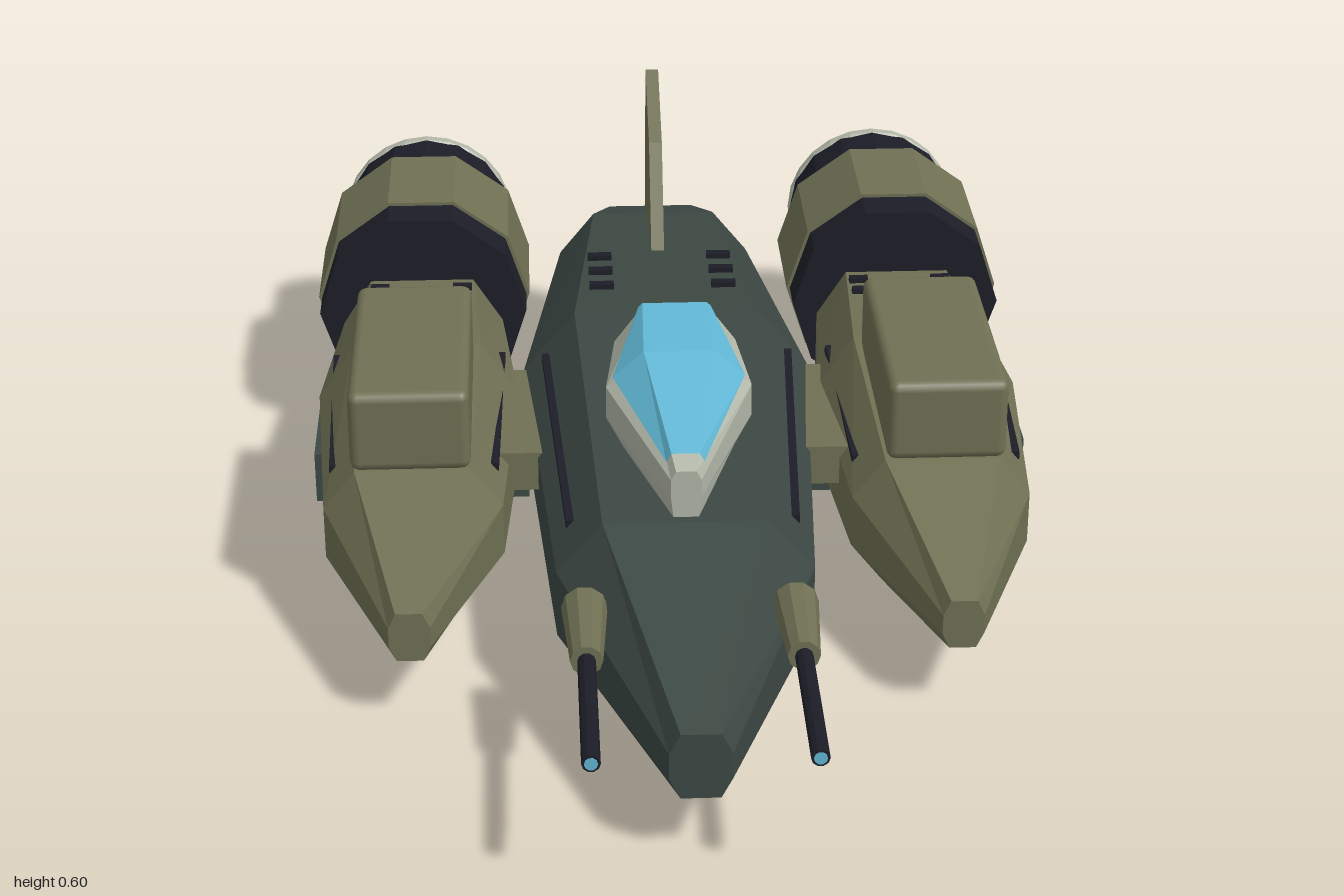
import * as THREE from 'three';
import { RoundedBoxGeometry } from 'three/addons/geometries/RoundedBoxGeometry.js';

const mat = (name, color) => {
  const m = new THREE.MeshStandardMaterial({ color });
  m.name = name;
  return m;
};

// Faceted copy of a geometry
function flat(geo) {
  const g = geo.index ? geo.toNonIndexed() : geo;
  g.computeVertexNormals();
  return g;
}

// Skin over rings of [x, y, z], counter-clockwise seen from +z, ordered back to front
function loft(rings, closed = true) {
  const p = [], n = rings[0].length;
  for (let i = 0; i < rings.length - 1; i++) {
    for (let j = 0; j < (closed ? n : n - 1); j++) {
      const k = (j + 1) % n;
      const a = rings[i][j], b = rings[i][k], c = rings[i + 1][k], d = rings[i + 1][j];
      p.push(...a, ...b, ...c, ...a, ...c, ...d);
    }
  }
  if (closed) {
    const back = rings[0], front = rings[rings.length - 1];
    for (let j = 1; j < n - 1; j++) {
      p.push(...front[0], ...front[j], ...front[j + 1]);
      p.push(...back[0], ...back[j + 1], ...back[j]);
    }
  }
  const g = new THREE.BufferGeometry();
  g.setAttribute('position', new THREE.Float32BufferAttribute(p, 3));
  g.computeVertexNormals();
  return g;
}

// Octagonal section: [z, half width, bottom, top]
function octagon([z, w, y0, y1]) {
  const t = w * 0.64, c = (y1 - y0) * 0.3;
  return [[w, y0 + c, z], [w, y1 - c, z], [t, y1, z], [-t, y1, z],
    [-w, y1 - c, z], [-w, y0 + c, z], [-t, y0, z], [t, y0, z]];
}

// Section interpolated at z
function sectionAt(sections, z) {
  let i = 0;
  while (i < sections.length - 2 && sections[i + 1][0] < z) i++;
  const a = sections[i], b = sections[i + 1], t = (z - a[0]) / (b[0] - a[0]);
  return a.map((v, k) => v + (b[k] - v) * t);
}

const HULL = [[-0.97, 0.125, 0.09, 0.275], [-0.84, 0.18, 0.05, 0.315], [-0.28, 0.252, 0.005, 0.365],
  [0.43, 0.205, 0.045, 0.33], [0.88, 0.047, 0.115, 0.225]];
const POD = [[-0.62, 0.14, 0.075, 0.32], [-0.53, 0.145, 0.05, 0.325], [-0.2, 0.174, 0.03, 0.345],
  [0.18, 0.148, 0.075, 0.3], [0.49, 0.033, 0.125, 0.21]];
const POD_X = 0.437;

export function createModel() {
  const root = new THREE.Group();
  root.name = 'gunship';
  const green = mat('dark green', 0x3c4843), olive = mat('olive', 0x6f7053);
  const black = mat('blue black', 0x1d1d28), pale = mat('pale grey', 0xb3b7a8);
  const blue = mat('light blue', 0x60b6d3);

  const add = (name, geo, material, x = 0, y = 0, z = 0, parent = root) => {
    const m = new THREE.Mesh(geo, material);
    m.name = name;
    m.position.set(x, y, z);
    parent.add(m);
    return m;
  };
  const box = (w, h, d) => new THREE.BoxGeometry(w, h, d);
  // Cylinder along z
  const tube = (front, back, len, sides) => flat(
    new THREE.CylinderGeometry(front, back, len, sides, 1, false, Math.PI / 2).rotateX(Math.PI / 2));

  // Thin groove lying on the upper slanted face of a body
  const groove = (sections, s, z0, z1, f, parent) => {
    const [a, b] = [z0, z1].map((z) => {
      const o = octagon(sectionAt(sections, z));
      return new THREE.Vector3(...o[1]).lerp(new THREE.Vector3(...o[2]), f);
    });
    a.x *= s;
    b.x *= s;
    const m = add('groove', box(0.014, 0.014, a.distanceTo(b)), black, 0, 0, 0, parent);
    m.position.copy(a).add(b).multiplyScalar(0.5);
    m.quaternion.setFromUnitVectors(new THREE.Vector3(0, 0, 1), b.sub(a).normalize());
  };

  // Fuselage
  add('hull', loft(HULL.map(octagon)), green);

  // Cockpit frame: [z, bottom half width, waist half width, waist low, waist high, top half width, top]
  const frame = [[-0.04, 0.06, 0.07, 0.39, 0.43, 0.05, 0.465], [0.06, 0.09, 0.1, 0.4, 0.47, 0.055, 0.53],
    [0.2, 0.09, 0.118, 0.4, 0.455, 0.055, 0.51], [0.44, 0.02, 0.024, 0.38, 0.41, 0.016, 0.425]];
  add('cockpitFrame', loft(frame.map(([z, b, w, l, h, t, y]) => [[w, l, z], [w, h, z], [t, y, z],
    [-t, y, z], [-w, h, z], [-w, l, z], [-b, 0.345, z], [b, 0.345, z]])), pale);
  // Cockpit glass: [z, edge half width, edge y, top half width, top y]
  const glass = [[0.05, 0.06, 0.527, 0.053, 0.534], [0.2, 0.107, 0.473, 0.057, 0.517],
    [0.41, 0.03, 0.427, 0.022, 0.441]];
  add('cockpitGlass', loft(glass.map(([z, w, y, t, h]) => [[w, y, z], [t, h, z], [-t, h, z], [-w, y, z]]), false), blue);

  // Tail fin
  const fin = new THREE.Shape([[0.6, 0.31], [0.705, 0.515], [0.865, 0.6], [0.91, 0.42], [0.935, 0.27]]
    .map(([x, y]) => new THREE.Vector2(x, y)));
  const finGeo = new THREE.ExtrudeGeometry(fin, { depth: 0.024, bevelEnabled: false });
  finGeo.translate(0, 0, -0.012).rotateY(Math.PI / 2);
  add('tailFin', finGeo, olive);

  // Exhaust rim
  const rim = new THREE.Shape().absarc(0, 0, 0.162, 0, Math.PI * 2);
  rim.holes.push(new THREE.Path().absarc(0, 0, 0.132, 0, Math.PI * 2, true));
  const rimGeo = new THREE.ExtrudeGeometry(rim, { depth: 0.018, bevelEnabled: true, bevelSize: 0.005,
    bevelThickness: 0.006, bevelOffset: -0.005, bevelSegments: 1, curveSegments: 12 });

  for (const s of [1, -1]) {
    const side = s > 0 ? 'left' : 'right';

    // Hull grooves and vents
    groove(HULL, s, -0.24, 0.34, 0.4, root);
    for (const z of [-0.57, -0.49, -0.41]) {
      add('hullVent', box(0.044, 0.02, 0.018), black, s * 0.11, sectionAt(HULL, z)[3], z);
    }

    // Nose gun
    const gun = new THREE.Group();
    gun.name = side + 'Gun';
    gun.position.set(s * 0.163, 0.257, 0);
    root.add(gun);
    add('gunMantle', tube(0.025, 0.036, 0.16, 10), olive, 0, 0, 0.64, gun);
    add('gunBarrel', tube(0.014, 0.014, 0.29, 10), black, 0, 0, 0.853, gun);
    add('gunMuzzle', tube(0.01, 0.01, 0.004, 10), blue, 0, 0, 0.998, gun);

    // Side pod
    const pod = new THREE.Group();
    pod.name = side + 'Pod';
    pod.position.x = s * POD_X;
    root.add(pod);
    add('podBody', loft(POD.map(octagon)), olive, 0, 0, 0, pod);
    add('podRoofBox', new RoundedBoxGeometry(0.196, 0.14, 0.43, 2, 0.016), olive, 0, 0.392, 0.012, pod);
    add('podSidePanel', box(0.37, 0.092, 0.185), green, s * -0.005, 0.148, -0.182, pod);
    add('pylon', box(0.14, 0.07, 0.32), olive, s * -0.18, 0.225, -0.11, pod);
    for (const k of [1, -1]) {
      groove(POD, k, -0.29, 0.1, 0.35, pod);
      for (const z of [-0.47, -0.415]) {
        add('podVent', box(0.034, 0.02, 0.016), black, k * 0.075, sectionAt(POD, z)[3], z, pod);
      }
    }

    // Engine
    const engine = new THREE.Group();
    engine.name = side + 'Engine';
    engine.position.y = 0.262;
    pod.add(engine);
    add('engineCollar', tube(0.19, 0.19, 0.08, 10), black, 0, 0, -0.56, engine);
    add('engineBand', tube(0.196, 0.196, 0.225, 10), olive, 0, 0, -0.707, engine);
    add('exhaust', tube(0.168, 0.161, 0.16, 16), black, 0, -0.003, -0.895, engine);
    add('exhaustRim', rimGeo, pale, 0, -0.003, -0.994, engine);
    add('exhaustGlow', tube(0.072, 0.072, 0.008, 20), blue, 0, -0.003, -0.977, engine);
    for (let i = 0; i < 8; i++) {
      const a = (i + 0.5) * Math.PI / 4;
      const spoke = add('exhaustSpoke', box(0.04, 0.01, 0.012), pale,
        Math.cos(a) * 0.115, Math.sin(a) * 0.115 - 0.003, -0.979, engine);
      spoke.rotation.z = a;
    }
  }
  return root;
}
